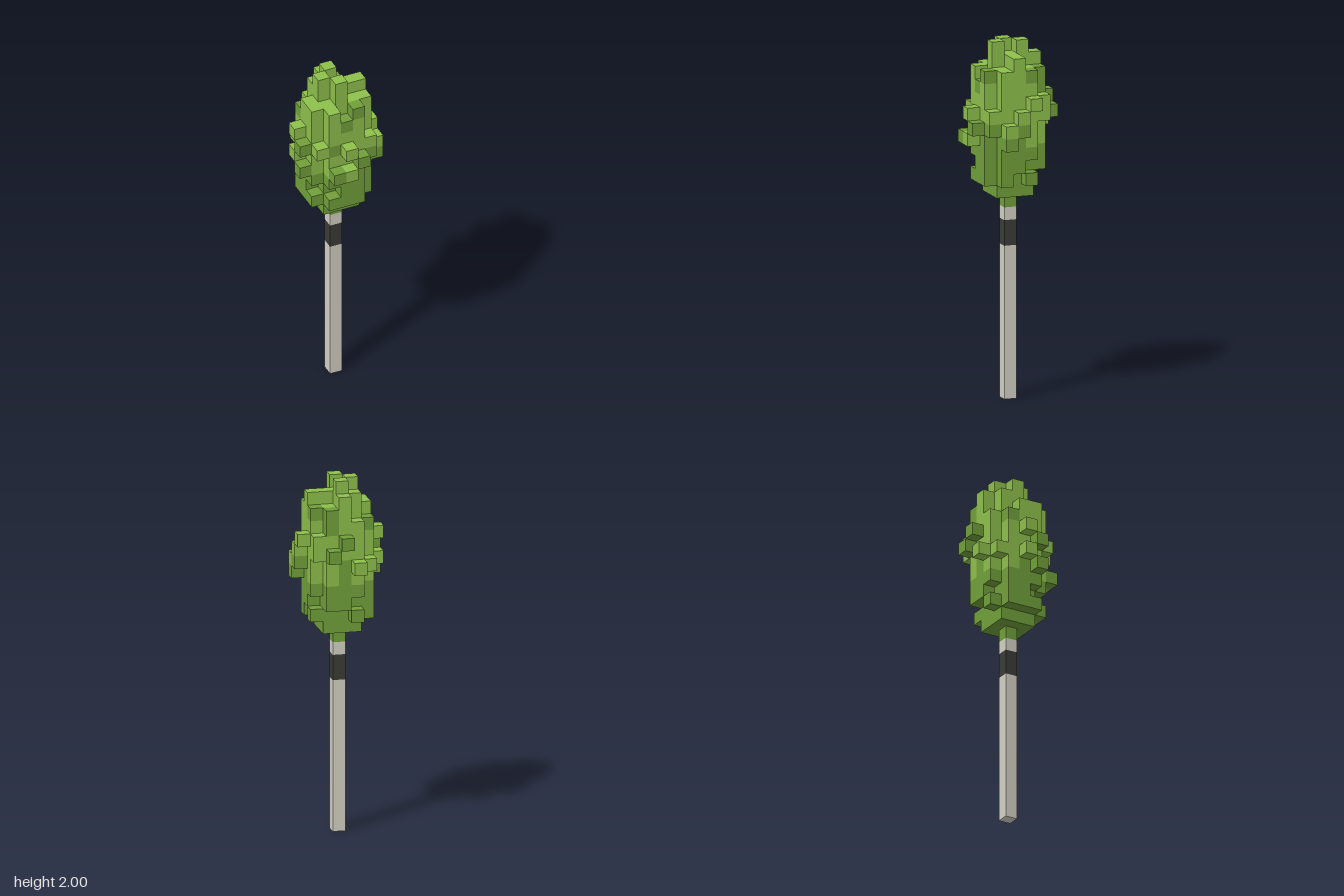
import * as THREE from 'three';
import { mergeGeometries } from 'three/addons/utils/BufferGeometryUtils.js';

const U = 2 / 28; // one cube; the tree is 28 cubes tall

const mat = (name, color) => {
  const m = new THREE.MeshStandardMaterial({ color });
  m.name = name;
  return m;
};

// The six faces of a unit cube: outward direction and the turn that aims a plane there
const SIDES = [
  [1, 0, 0, 0, Math.PI / 2], [-1, 0, 0, 0, -Math.PI / 2],
  [0, 1, 0, -Math.PI / 2, 0], [0, -1, 0, Math.PI / 2, 0],
  [0, 0, 1, 0, 0], [0, 0, -1, 0, Math.PI],
];

// Extra leaf cubes standing out from the core: x, z, lowest layer, highest layer, shade
const TUFTS = [
  // crest
  [-1, 0, 26, 27, 'light'], [0, -1, 26, 27, 'light'], [0, 1, 26, 27, 'light'],
  [-1, -1, 26, 26, 'light'], [0, 0, 26, 26, 'light'], [1, 0, 26, 26, 'light'],
  [2, 0, 26, 26, 'light'], [0, -2, 26, 26, 'light'],
  // front
  [-1, 3, 20, 20, 'dark'], [0, 3, 20, 20, 'light'], [0, 3, 22, 22, 'light'],
  [1, 3, 21, 21, 'dark'],
  // back
  [-1, -3, 21, 21, 'light'], [0, -3, 23, 23, 'dark'], [1, -3, 22, 22, 'dark'],
  // left
  [3, 0, 21, 21, 'dark'], [3, 0, 22, 22, 'light'], [3, 1, 20, 20, 'dark'],
  [3, 1, 21, 21, 'light'], [3, -1, 23, 23, 'light'],
  // right
  [-3, 0, 21, 21, 'light'], [-3, 0, 23, 23, 'light'], [-3, 1, 20, 20, 'dark'],
  [-3, 1, 22, 22, 'dark'],
  // corners
  [2, 2, 21, 21, 'dark'], [2, 2, 22, 22, 'light'], [-2, 2, 22, 22, 'light'],
  [2, -2, 22, 23, 'light'], [-2, -2, 21, 21, 'light'],
];

// Core cubes that break the light upper part with shade
const SHADE = [
  [-2, -1, 24, 24], [2, -1, 25, 25], [1, -2, 24, 25], [0, 2, 24, 24], [1, 2, 25, 25],
  [-1, 2, 22, 22], [2, 0, 20, 21], [0, -2, 20, 21], [-2, 0, 20, 20], [1, 2, 20, 20],
  [2, 1, 20, 20],
];

// Cubes missing from the core: x, z, layer
const NOTCHES = [
  [-1, 2, 18], [2, -1, 18], [-1, -2, 18], [-2, 1, 18],
  [2, 0, 17], [0, -2, 17], [1, -2, 17],
  [0, 2, 25], [-2, -1, 25], [-1, -2, 25],
];

function buildLeaves() {
  const cells = new Map();
  const fill = (x, z, k0, k1, shade) => {
    for (let k = k0; k <= k1; k++) cells.set([x, k, z].join(), shade);
  };
  // stalk, 3 x 3 base and rounded 5 x 5 core
  fill(0, 0, 15, 15, 'dark');
  for (let x = -2; x <= 2; x++) {
    for (let z = -2; z <= 2; z++) {
      if (Math.abs(x) + Math.abs(z) === 4) continue;
      if (Math.abs(x) < 2 && Math.abs(z) < 2) fill(x, z, 16, 16, 'dark');
      fill(x, z, 17, 19, 'dark');
      fill(x, z, 20, 25, 'light');
    }
  }
  SHADE.forEach(([x, z, a, b]) => fill(x, z, a, b, 'dark'));
  NOTCHES.forEach(([x, z, k]) => cells.delete([x, k, z].join()));
  TUFTS.forEach((t) => fill(...t));

  // keep only the faces that touch open air
  const faces = { light: [], dark: [] };
  for (const [key, shade] of cells) {
    const [x, k, z] = key.split(',').map(Number);
    for (const [dx, dy, dz, rx, ry] of SIDES) {
      if (cells.has([x + dx, k + dy, z + dz].join())) continue;
      const face = new THREE.PlaneGeometry(U, U);
      face.rotateX(rx).rotateY(ry);
      face.translate((x + dx / 2) * U, (k + 0.5 + dy / 2) * U, (z + dz / 2) * U);
      faces[shade].push(face);
    }
  }
  return faces;
}

export function createModel() {
  const tree = new THREE.Group();
  tree.name = 'tree';
  const bark = mat('pale bark', 0xd4d0c4);
  const barkDark = mat('dark bark', 0x3b3b37);
  const leaf = { light: mat('light leaf', 0x8ec04c), dark: mat('dark leaf', 0x71a03a) };

  // Trunk: pale post with a dark band
  const post = (name, k0, k1, material) => {
    const mesh = new THREE.Mesh(new THREE.BoxGeometry(U, (k1 - k0) * U, U), material);
    mesh.position.y = ((k0 + k1) / 2) * U;
    mesh.name = name;
    tree.add(mesh);
  };
  post('lowerTrunk', 0, 12, bark);
  post('trunkBand', 12, 14, barkDark);
  post('upperTrunk', 14, 15, bark);

  // Crown of leaf cubes, one mesh for each shade
  const crown = new THREE.Group();
  crown.name = 'crown';
  const faces = buildLeaves();
  for (const shade of ['light', 'dark']) {
    const mesh = new THREE.Mesh(mergeGeometries(faces[shade]), leaf[shade]);
    mesh.name = shade + 'Leaves';
    crown.add(mesh);
  }
  tree.add(crown);
  return tree;
}
